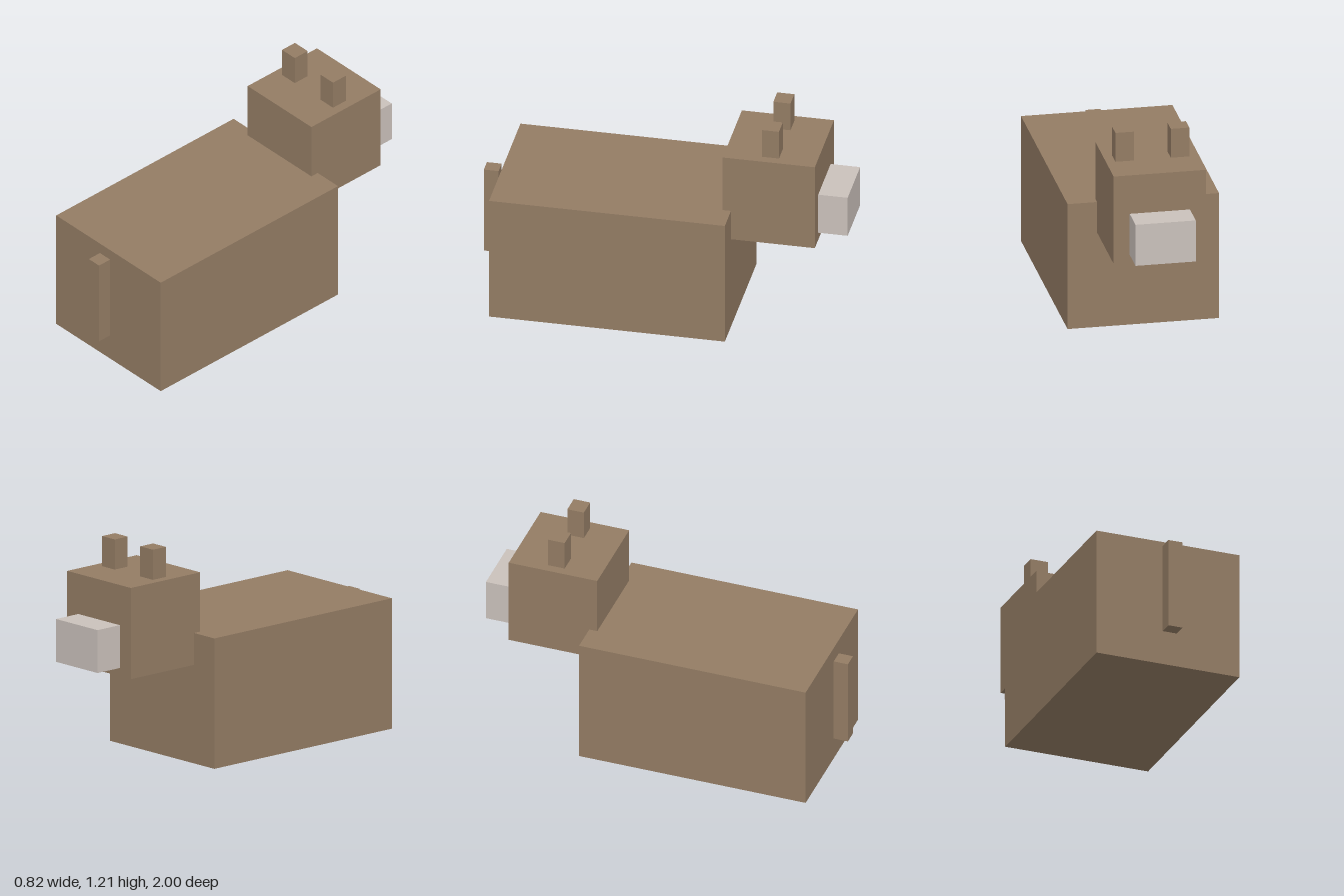
import * as THREE from 'three';

export function createModel() {
  const model = new THREE.Group();
  const brown = new THREE.MeshStandardMaterial({ name: 'brown coat', color: 0x937c64 });
  const pale = new THREE.MeshStandardMaterial({ name: 'pale muzzle', color: 0xcac1bb });

  // Box given by its extents along each axis
  function block(name, material, [x0, x1], [y0, y1], [z0, z1]) {
    const mesh = new THREE.Mesh(new THREE.BoxGeometry(x1 - x0, y1 - y0, z1 - z0), material);
    mesh.position.set((x0 + x1) / 2, (y0 + y1) / 2, (z0 + z1) / 2);
    mesh.name = name;
    model.add(mesh);
  }

  // Body and tail
  block('body', brown, [-0.41, 0.41], [0, 0.715], [-0.385, 0.895]);
  block('tail', brown, [-0.04, 0.04], [0.18, 0.68], [0.92, 1]);

  // Head and muzzle, pointing to the back
  block('head', brown, [-0.25, 0.25], [0.54, 1.04], [-0.84, -0.34]);
  block('muzzle', pale, [-0.163, 0.163], [0.585, 0.82], [-1, -0.84]);

  // Ears
  block('leftEar', brown, [0.1, 0.2], [1.04, 1.205], [-0.635, -0.542]);
  block('rightEar', brown, [-0.2, -0.1], [1.04, 1.205], [-0.635, -0.542]);

  return model;
}
